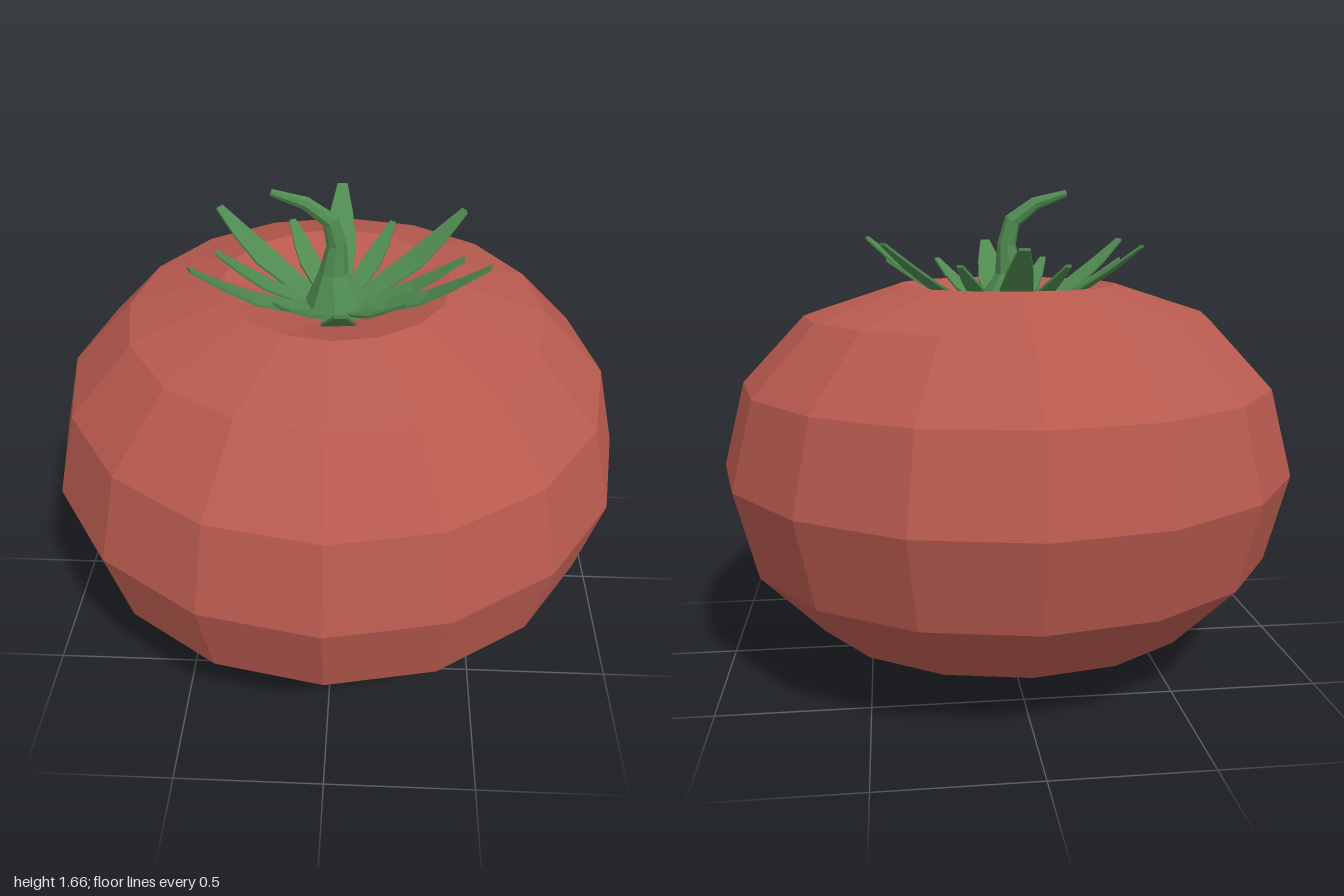
import * as THREE from 'three';

const red = new THREE.MeshStandardMaterial({ color: 0xb85a4e, flatShading: true });
const green = new THREE.MeshStandardMaterial({ color: 0x4f8a50, flatShading: true, side: THREE.DoubleSide });

// Joins rings of equal point count into a skin with capped ends.
function loft(rings, material, name) {
  const n = rings[0].length;
  const index = [];
  for (let i = 0; i < rings.length - 1; i++) {
    for (let j = 0; j < n; j++) {
      const a = i * n + j, b = i * n + (j + 1) % n;
      index.push(a, a + n, b, b, a + n, b + n);
    }
  }
  const last = (rings.length - 1) * n;
  for (let j = 1; j < n - 1; j++) {
    index.push(0, j, j + 1, last, last + j + 1, last + j);
  }
  const geometry = new THREE.BufferGeometry().setFromPoints(rings.flat());
  geometry.setIndex(index);
  geometry.computeVertexNormals();
  const mesh = new THREE.Mesh(geometry, material);
  mesh.name = name;
  return mesh;
}

// Leaf blade that leaves the stem base and curls up to its tip.
function makeSepal(x, z, tipY, halfWidth) {
  const reach = Math.hypot(x, z);
  const sections = [ // share of reach, share of rise, share of width
    [0.12, 0, 0.6], [0.35, 0.16, 0.85], [0.6, 0.4, 1], [0.8, 0.68, 0.75], [1, 1, 0.32],
  ];
  const baseY = 1.24, t = 0.005;
  const rings = sections.map(([r, h, w]) => {
    const y = baseY + h * (tipY - baseY), d = r * reach, s = w * halfWidth;
    return [
      new THREE.Vector3(d, y - t, -s), new THREE.Vector3(d, y - t, s),
      new THREE.Vector3(d, y + t, s), new THREE.Vector3(d, y + t, -s),
    ];
  });
  const sepal = loft(rings, green, 'sepal');
  sepal.rotation.y = Math.atan2(-z, x);
  return sepal;
}

export function createModel() {
  const model = new THREE.Group();
  model.name = 'tomato';

  // Squat faceted fruit with a dished top
  const profile = [
    [0, 0], [0.383, 0.04], [0.707, 0.175], [0.924, 0.405], [1, 0.705],
    [0.924, 1.0], [0.707, 1.23], [0.383, 1.335], [0, 1.2],
  ].map(([r, y]) => new THREE.Vector2(r, y));
  const fruit = new THREE.Mesh(new THREE.LatheGeometry(profile, 16), red);
  fruit.name = 'fruit';
  model.add(fruit);

  // Stem: flared foot, bending over to one side
  const path = [ // x, y, radius
    [0, 1.21, 0.13], [0, 1.27, 0.105], [-0.01, 1.37, 0.05], [0, 1.47, 0.033],
    [-0.02, 1.55, 0.03], [-0.1, 1.61, 0.023], [-0.21, 1.645, 0.012],
  ].map(([x, y, r]) => ({ p: new THREE.Vector3(x, y, 0), r }));
  const rings = path.map(({ p, r }, i) => {
    const before = path[Math.max(i - 1, 0)].p;
    const after = path[Math.min(i + 1, path.length - 1)].p;
    const along = after.clone().sub(before).normalize();
    const across = new THREE.Vector3(along.y, -along.x, 0);
    return Array.from({ length: 8 }, (_, j) => {
      const a = j / 8 * Math.PI * 2;
      return p.clone().addScaledVector(across, r * Math.cos(a))
        .add(new THREE.Vector3(0, 0, -r * Math.sin(a)));
    }).reverse();
  });
  model.add(loft(rings, green, 'stem'));

  // Leafy crown: tip x, tip z, tip height, half width
  const crown = new THREE.Group();
  crown.name = 'crown';
  const sepals = [
    [0, -0.48, 1.47, 0.056], [0.43, -0.25, 1.48, 0.052], [0.485, 0.185, 1.49, 0.052],
    [0.03, 0.47, 1.47, 0.056], [-0.45, 0.22, 1.48, 0.052], [-0.42, -0.26, 1.47, 0.052],
    [0.42, -0.01, 1.42, 0.04], [-0.4, -0.015, 1.42, 0.04],
    [-0.17, -0.295, 1.41, 0.037], [0.185, -0.295, 1.41, 0.037],
    [0.23, 0.28, 1.41, 0.037], [-0.175, 0.3, 1.41, 0.037],
  ];
  for (const s of sepals) crown.add(makeSepal(...s));
  model.add(crown);

  return model;
}
